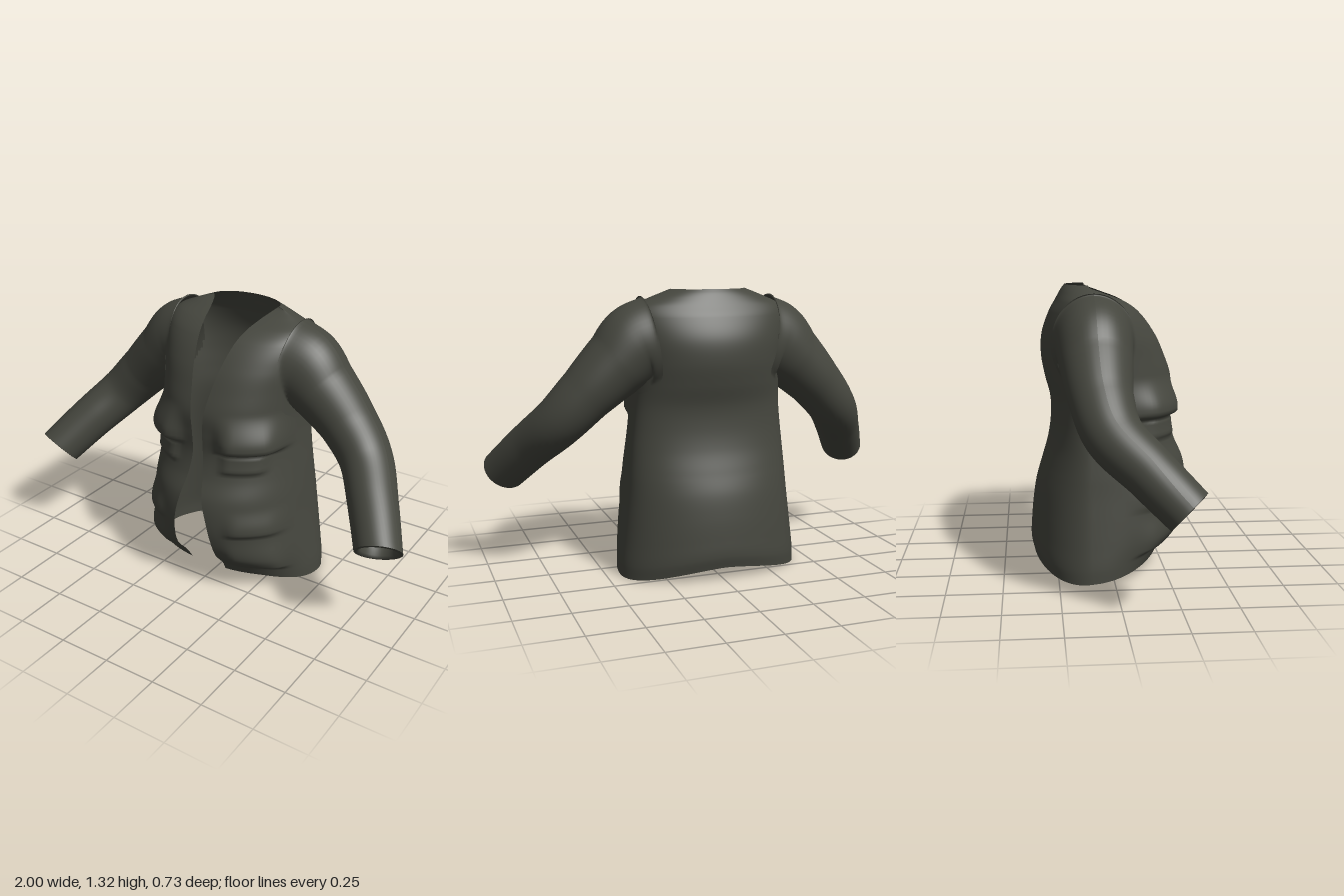
import * as THREE from 'three';

const { smoothstep, lerp } = THREE.MathUtils;

// Body profile: height, half width, back z, front z, half width of the front opening
const PROFILE = [
  [0.065, 0.436, -0.358, 0.22, 0.098],
  [0.12, 0.433, -0.37, 0.255, 0.105],
  [0.2, 0.422, -0.367, 0.325, 0.108],
  [0.3, 0.408, -0.358, 0.36, 0.1],
  [0.4, 0.395, -0.342, 0.37, 0.085],
  [0.5, 0.385, -0.313, 0.358, 0.06],
  [0.6, 0.375, -0.285, 0.315, 0.04],
  [0.7, 0.364, -0.271, 0.292, 0.028],
  [0.8, 0.355, -0.273, 0.295, 0.028],
  [0.9, 0.352, -0.298, 0.295, 0.035],
  [1.0, 0.358, -0.315, 0.262, 0.05],
  [1.1, 0.37, -0.31, 0.215, 0.07],
  [1.2, 0.375, -0.275, 0.14, 0.095],
  [1.25, 0.35, -0.247, 0.07, 0.115],
  [1.285, 0.275, -0.228, -0.02, 0.14],
  [1.305, 0.225, -0.216, -0.08, 0.16],
  [1.322, 0.18, -0.203, -0.125, 0.178],
];
const CENTRE_Z = -0.1;

// Sleeve rings: centre x, y, z, radius, radius along z
const SLEEVE = [
  [0.28, 1.07, -0.085, 0.225, 0.19],
  [0.34, 1.06, -0.085, 0.197, 0.172],
  [0.43, 0.992, -0.083, 0.158, 0.16],
  [0.57, 0.86, -0.072, 0.13, 0.138],
  [0.685, 0.735, -0.03, 0.117, 0.126],
  [0.795, 0.605, 0.105, 0.11, 0.113],
  [0.9, 0.465, 0.25, 0.105, 0.105],
];
const CUFF_NORMAL = new THREE.Vector3(0.3, -0.66, 0.69).normalize();

// Smooth interpolation through the profile rows
function profileAt(y) {
  const last = PROFILE.length - 2;
  const row = (k) => PROFILE[Math.min(Math.max(k, 0), last + 1)];
  let i = 0;
  while (i < last && y > PROFILE[i + 1][0]) i++;
  const a = row(i), b = row(i + 1), h = b[0] - a[0], t = (y - a[0]) / h;
  return a.slice(1).map((v, k) => {
    const c = k + 1;
    const slope = (p, q) => (q[c] - p[c]) / (q[0] - p[0]);
    const m0 = slope(row(i - 1), b) * h, m1 = slope(a, row(i + 2)) * h;
    const t2 = t * t, t3 = t2 * t;
    return (2 * t3 - 3 * t2 + 1) * v + (t3 - 2 * t2 + t) * m0 + (3 * t2 - 2 * t3) * b[c] + (t3 - t2) * m1;
  });
}

// The back is elliptical, the front a little squarer
const power = (isBack) => (isBack ? 2 : 2.25);

// Surface from rows of points, leaving out cells wholly inside a hole
function gridSurface(rows, flip, inHole = () => false) {
  const n = rows[0].length, index = [], points = rows.flat();
  for (let r = 0; r < rows.length - 1; r++) {
    for (let c = 0; c < n - 1; c++) {
      const a = r * n + c, b = a + 1, d = a + n, e = d + 1;
      if ([a, b, d, e].every((k) => inHole(points[k]))) continue;
      if (flip) index.push(a, b, d, b, e, d);
      else index.push(a, d, b, b, d, e);
    }
  }
  const g = new THREE.BufferGeometry();
  g.setAttribute('position', new THREE.Float32BufferAttribute(points.flat(), 3));
  g.setIndex(index);
  g.computeVertexNormals();
  return g;
}

const band = (v, a, b, s) => smoothstep(v, a, a + s) * (1 - smoothstep(v, b - s, b));
// Hard lower edge that fades out upwards
const flap = (y, low, high) => smoothstep(y, low, low + 0.018) * (1 - smoothstep(y, low + 0.04, high));

// Raised chest and hip pockets on the front panels
function pocketRelief(x, y) {
  return 0.052 * band(x, 0.07, 0.36, 0.09) * flap(y, 0.725, 0.92)
    + 0.018 * band(x, 0.1, 0.31, 0.05) * band(y, 0.625, 0.735, 0.02)
    + 0.022 * band(x, 0.13, 0.4, 0.07) * flap(y, 0.125, 0.32)
    + 0.017 * band(x, 0.15, 0.39, 0.07) * flap(y, 0.325, 0.47);
}

const inArmhole = ([x, y, z]) =>
  Math.abs(x) > 0.25 && ((y - 1.065) / 0.165) ** 2 + ((z + 0.085) / 0.135) ** 2 < 1;

// Open-fronted body, each row running round the back from edge to edge
function bodyGeometry() {
  const rows = [], sub = 8, cols = 120;
  for (let k = 0; k <= (PROFILE.length - 1) * sub; k++) {
    const i = Math.min(Math.floor(k / sub), PROFILE.length - 2);
    const y = lerp(PROFILE[i][0], PROFILE[i + 1][0], k / sub - i);
    const [w, back, front, open] = profileAt(y);
    const end = Math.PI - Math.asin(Math.pow(Math.min(open / w, 0.995), power(false) / 2));
    const row = [];
    for (let c = 0; c <= cols; c++) {
      const phi = lerp(-end, end, c / cols), s = Math.sin(phi), co = Math.cos(phi);
      const e = 2 / power(co > 0);
      const depth = co > 0 ? CENTRE_Z - back : front - CENTRE_Z;
      let x = w * Math.sign(s) * Math.pow(Math.abs(s), e);
      let z = CENTRE_Z - depth * Math.sign(co) * Math.pow(Math.abs(co), e);
      if (co < 0) {
        const relief = pocketRelief(Math.abs(x), y) * smoothstep(-co, 0, 0.4);
        x += s * relief;
        z -= co * relief;
      }
      // hem dips at the sides
      const dip = Math.max(0, Math.sin(Math.min(Math.PI, Math.abs(phi) * 1.2))) ** 1.6;
      const drop = 0.065 * dip * Math.max(0, 1 - (y - 0.065) / 0.4);
      row.push([x, y - drop, z]);
    }
    rows.push(row);
  }
  return gridSurface(rows, false, inArmhole);
}

// Lay points that fall inside the body onto its surface
function wrapToBody(p) {
  if (p.y > 1.32) return;
  const [w, back, front] = profileAt(p.y);
  const dz = p.z - CENTRE_Z, n = power(dz < 0);
  const depth = dz < 0 ? CENTRE_Z - back : front - CENTRE_Z;
  const size = Math.pow(Math.pow(Math.abs(p.x) / w, n) + Math.pow(Math.abs(dz) / depth, n), 1 / n);
  if (size < 1.004) {
    p.x *= 1.004 / size;
    p.z = CENTRE_Z + (dz * 1.004) / size;
  }
}

// Bent sleeve; side is 1 for left, -1 for right
function sleeveRings(side) {
  const curve = new THREE.CatmullRomCurve3(SLEEVE.map((p) => new THREE.Vector3(p[0], p[1], p[2])));
  const steps = 48, zAxis = new THREE.Vector3(0, 0, 1);
  const ring = (t, scale, shift) => {
    const f = t * (SLEEVE.length - 1), i = Math.min(Math.floor(f), SLEEVE.length - 2);
    const ru = lerp(SLEEVE[i][3], SLEEVE[i + 1][3], f - i) * scale;
    const rv = lerp(SLEEVE[i][4], SLEEVE[i + 1][4], f - i) * scale;
    const N = curve.getTangent(t).lerp(CUFF_NORMAL, smoothstep(t, 0.8, 1)).normalize();
    const U = new THREE.Vector3().crossVectors(zAxis, N).normalize();
    const V = new THREE.Vector3().crossVectors(N, U);
    const centre = curve.getPoint(t).addScaledVector(N, shift);
    return Array.from({ length: 49 }, (_, k) => {
      const a = (k / 48) * Math.PI * 2;
      const p = centre.clone().addScaledVector(U, ru * Math.cos(a)).addScaledVector(V, rv * Math.sin(a));
      if (t < 0.5) wrapToBody(p);
      return [p.x * side, p.y, p.z];
    });
  };
  const outer = Array.from({ length: steps + 1 }, (_, k) => ring(k / steps, 1, 0));
  // cuff turned inwards
  const cuff = [ring(1, 1, 0), ring(1, 0.88, 0.002), ring(1, 0.76, -0.01), ring(1, 0.74, -0.04), ring(0.88, 0.86, 0)];
  return { outer, cuff };
}

export function createModel() {
  const group = new THREE.Group();
  group.name = 'jacket';
  const cloth = new THREE.MeshStandardMaterial({ color: 0x45463e, side: THREE.DoubleSide });
  cloth.name = 'dark olive cloth';

  const add = (geometry, name) => {
    const mesh = new THREE.Mesh(geometry, cloth);
    mesh.name = name;
    group.add(mesh);
  };

  add(bodyGeometry(), 'body');
  for (const [side, label] of [[1, 'left'], [-1, 'right']]) {
    const { outer, cuff } = sleeveRings(side);
    add(gridSurface(outer, side > 0), label + 'Sleeve');
    add(gridSurface(cuff, side > 0), label + 'Cuff');
  }
  return group;
}
